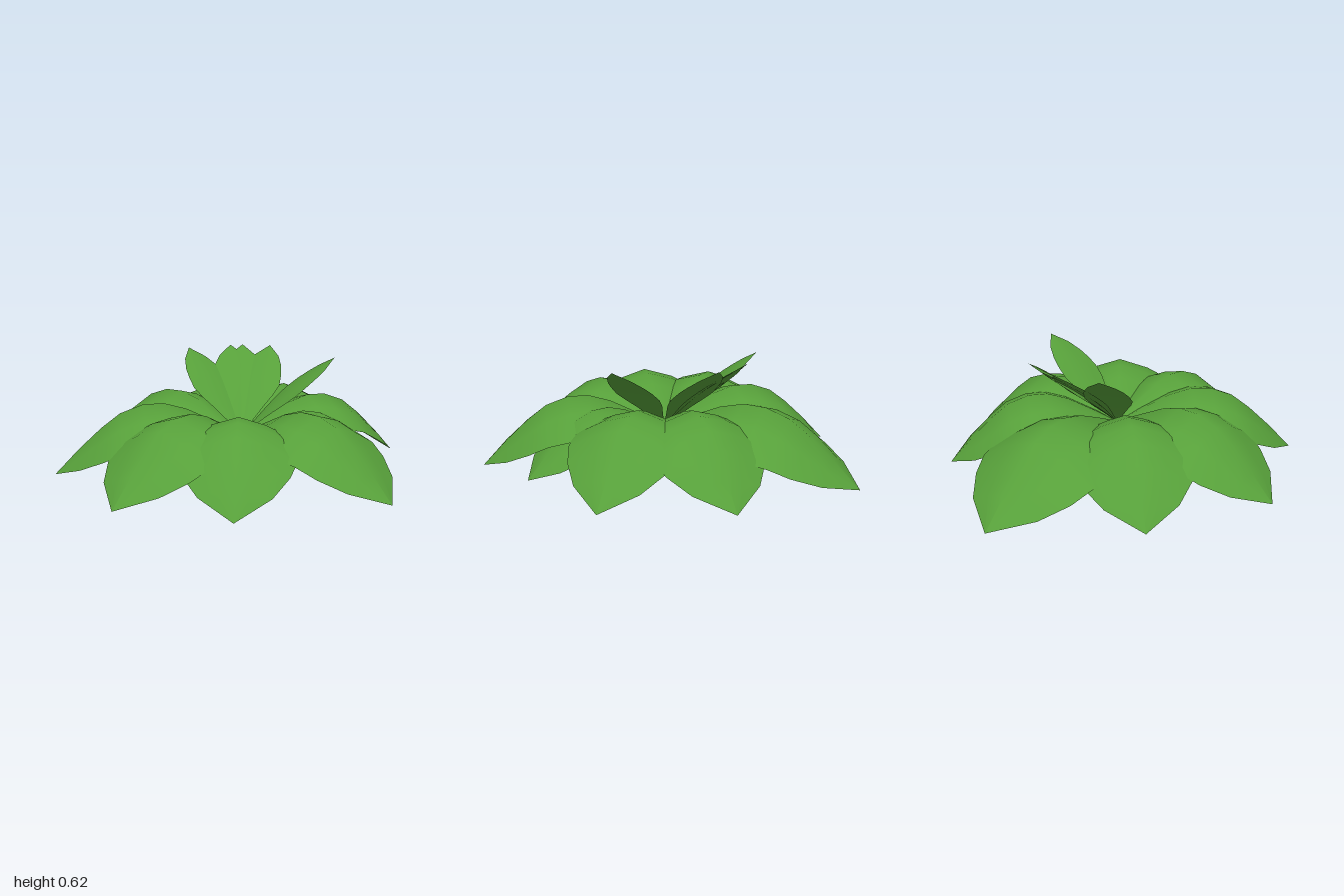
import * as THREE from 'three';

// leaf stations: position along leaf, half width (fraction of length), arched midrib height
const STATIONS = [
  [0, 0.015, 0.2], [0.12, 0.085, 0.27], [0.3, 0.21, 0.36], [0.42, 0.295, 0.395], [0.53, 0.342, 0.393],
  [0.65, 0.32, 0.35], [0.75, 0.28, 0.275], [0.87, 0.19, 0.165], [1, 0, 0.03],
];
const BASE = new THREE.Vector3(0.03, 0.2, 0.07);
const ACROSS = 4;

// Builds a leaf from rows of points; sides fall away from the midrib
function leafGeometry([tipX, tipY, tipZ], { arch, width, droop }) {
  const dx = tipX - BASE.x, dz = tipZ - BASE.z;
  const run = Math.hypot(dx, dz);
  const sideX = -dz / run, sideZ = dx / run;
  const pos = [], index = [];
  STATIONS.forEach(([t, w, h], row) => {
    // rise of the midrib above the straight line from base to tip
    const bulge = h - (BASE.y + (0.03 - BASE.y) * t);
    const mid = BASE.y + (tipY - BASE.y) * t + arch * bulge;
    for (let i = 0; i <= ACROSS; i++) {
      const s = (i / ACROSS * 2 - 1) * w * run * width;
      const fall = droop * (0.2 * Math.abs(s) + 0.7 * s * s);
      pos.push(BASE.x + dx * t + sideX * s, mid - fall, BASE.z + dz * t + sideZ * s);
      if (row && i) {
        const d = row * (ACROSS + 1) + i, c = d - 1, b = d - ACROSS - 1, a = b - 1;
        index.push(a, d, b, a, c, d);
      }
    }
  });
  const geo = new THREE.BufferGeometry();
  geo.setAttribute('position', new THREE.Float32BufferAttribute(pos, 3));
  geo.setIndex(index);
  geo.computeVertexNormals();
  return geo;
}

export function createModel() {
  const group = new THREE.Group();
  group.name = 'leafyPlant';
  const leafGreen = new THREE.MeshStandardMaterial({ color: 0x57a03a, side: THREE.DoubleSide });
  leafGreen.name = 'leafGreen';

  const addLeaves = (name, tips, options) => tips.forEach((tip, i) => {
    const leaf = new THREE.Mesh(leafGeometry(tip, options), leafGreen);
    leaf.name = `${name}${i + 1}`;
    group.add(leaf);
  });

  // ring of wide, arching leaves
  addLeaves('outerLeaf', [
    [0.3, 0.0, -1.0], [0.82, 0.04, -0.43], [0.93, 0.04, 0.22], [0.36, 0.03, 1.0],
    [-0.43, 0.03, 0.87], [-0.87, 0.03, 0.47], [-0.93, 0.02, -0.25], [-0.44, 0.03, -0.78],
  ], { arch: 1, width: 1, droop: 1 });

  // shorter leaves tucked below the ring
  addLeaves('lowerLeaf', [[0.59, 0.05, 0.67]], { arch: 0.85, width: 1, droop: 1 });
  addLeaves('innerLeaf', [[0.06, 0.17, 0.6]], { arch: 0.3, width: 0.8, droop: 1 });

  // young leaves rising from the centre
  addLeaves('youngLeaf', [
    [-0.06, 0.615, -0.42], [0.2, 0.615, -0.4], [0.27, 0.615, -0.38],
    [0.4, 0.615, -0.28], [0.51, 0.615, 0.24],
  ], { arch: 0.1, width: 0.76, droop: 0.4 });

  return group;
}
